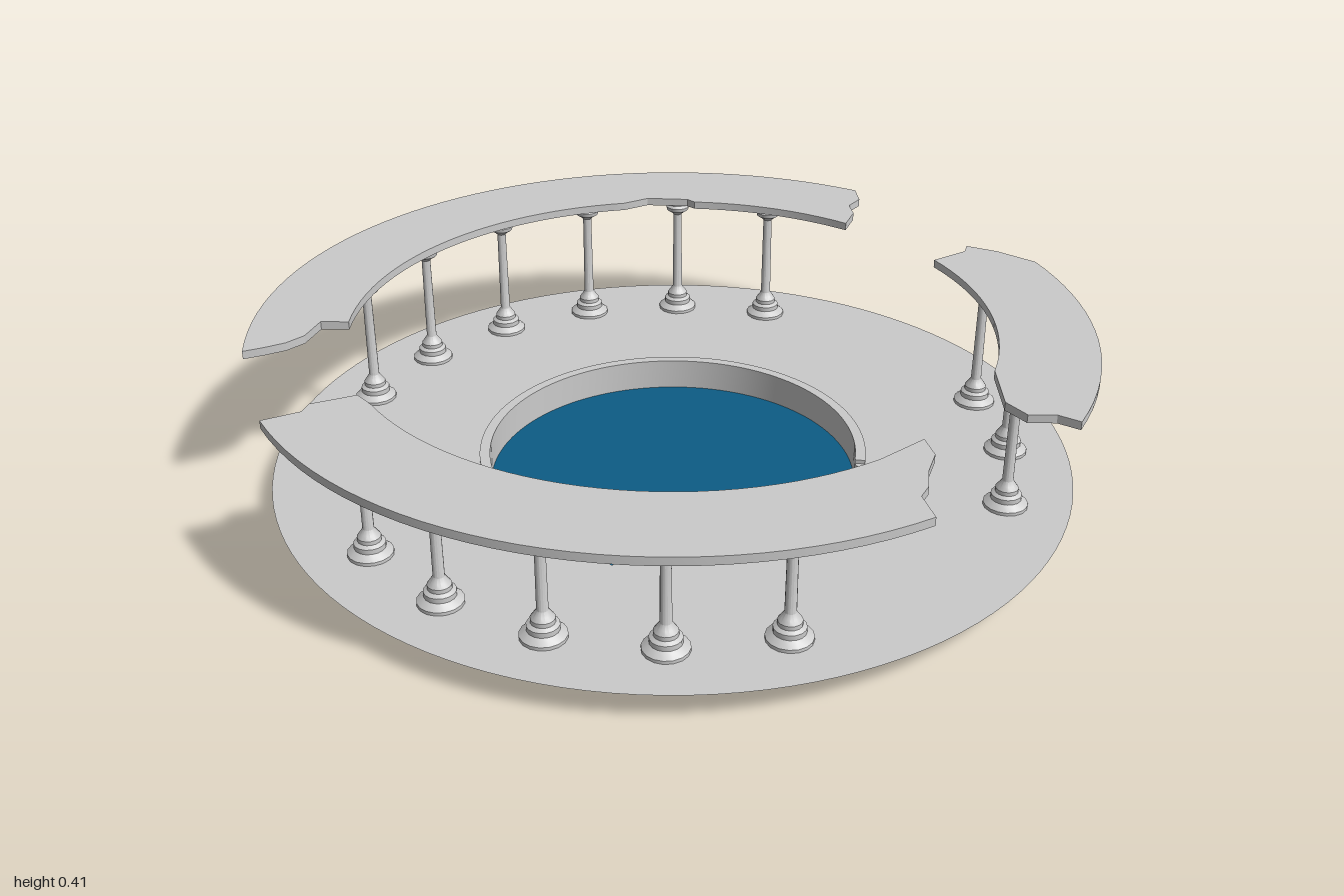
import * as THREE from 'three';
import { toCreasedNormals } from 'three/addons/utils/BufferGeometryUtils.js';

const FLOOR_Y = 0.07, ROOF_TOP = 0.415, POOL_R = 0.45;

// Points along an arc in the ground plane, angles in degrees from +x towards +z
function arc(r, from, to) {
  const n = Math.max(2, Math.ceil(Math.abs(to - from) / 3));
  return Array.from({ length: n + 1 }, (_, i) => {
    const a = THREE.MathUtils.degToRad(from + (to - from) * i / n);
    return [r * Math.cos(a), r * Math.sin(a)];
  });
}

const toShape = pts => new THREE.Shape(pts.map(p => new THREE.Vector2(p[0], p[1])));

// Flat plate with its top at y
function plate(pts, y, thickness) {
  const g = new THREE.ExtrudeGeometry(toShape(pts), { depth: thickness, bevelEnabled: false });
  g.rotateX(Math.PI / 2).translate(0, y, 0);
  return toCreasedNormals(g, 0.4);
}

// Upright band following a closed outline
function band(pts, y0, y1) {
  const pos = [];
  pts.forEach(([x, z], i) => {
    const [u, w] = pts[(i + 1) % pts.length];
    pos.push(x, y0, z, x, y1, z, u, y1, w, x, y0, z, u, y1, w, u, y0, w);
  });
  const g = new THREE.BufferGeometry();
  g.setAttribute('position', new THREE.Float32BufferAttribute(pos, 3));
  g.computeVertexNormals();
  return toCreasedNormals(g, 0.4);
}

export function createModel() {
  const model = new THREE.Group();
  model.name = 'ruinedPoolColonnade';
  const stone = new THREE.MeshStandardMaterial({ color: 0xcccccc });
  const thinStone = new THREE.MeshStandardMaterial({ color: 0xcccccc, side: THREE.DoubleSide });
  const blue = new THREE.MeshStandardMaterial({ color: 0x0d5c85, side: THREE.DoubleSide });
  const add = (name, geometry, material, parent = model) => {
    const m = new THREE.Mesh(geometry, material);
    m.name = name;
    parent.add(m);
    return m;
  };

  // Pool outline: a circle with two broken bites
  const biteRight = [[0.4, 0.215], [0.415, 0.27], [0.41, 0.315], [0.37, 0.335], [0.335, 0.33], [0.305, 0.34]];
  const biteLeft = [[-0.18, 0.415], [-0.22, 0.445], [-0.28, 0.455], [-0.305, 0.42], [-0.34, 0.39], [-0.335, 0.35], [-0.33, 0.3]];
  const pool = [...arc(POOL_R, 139, 387), ...biteRight, ...arc(POOL_R, 49, 112), ...biteLeft];

  // Thin floor disc with the pool cut out
  const floor = toShape(arc(0.97, 0, 357));
  floor.holes.push(new THREE.Path(pool.map(p => new THREE.Vector2(p[0], p[1]))));
  add('floor', new THREE.ShapeGeometry(floor).rotateX(Math.PI / 2).translate(0, FLOOR_Y, 0), thinStone);

  // Pool wall, water and raised rim
  add('poolWall', band(pool, 0, FLOOR_Y), thinStone);
  add('water', new THREE.ShapeGeometry(toShape(pool)).rotateX(Math.PI / 2), blue);
  for (const [from, to] of [[139, 387], [49, 112]]) {
    add('poolRim', plate([...arc(0.475, from, to), ...arc(POOL_R, to, from)], 0.08, 0.01), stone);
  }

  // Broken ring roof in three pieces: outer arc, ragged end, inner arc, ragged end
  const roof = new THREE.Group();
  roof.name = 'brokenRingRoof';
  model.add(roof);
  const back = [
    ...arc(1, 188, 318.2),
    [0.73, -0.6], [0.685, -0.565], [0.675, -0.51],
    ...arc(0.77, 324.5, 291.6), [0.27, -0.74], [0.22, -0.76], [0.165, -0.78],
    ...arc(0.77, 277, 197),
    [-0.8, -0.245], [-0.845, -0.18], [-0.89, -0.155], [-0.94, -0.145],
  ];
  const front = [
    ...arc(1, 76.7, 168.2),
    [-0.89, 0.19], [-0.87, 0.16], [-0.765, 0.15],
    ...arc(0.77, 165, 73.7),
    [0.335, 0.69], [0.33, 0.755], [0.29, 0.81], [0.265, 0.865], [0.235, 0.895],
  ];
  const side = [
    ...arc(0.995, -3.7, 46.5),
    [0.65, 0.68], [0.59, 0.66], [0.57, 0.595],
    ...arc(0.765, 36.4, -11.4),
    [0.85, -0.18], [0.87, -0.21], [0.93, -0.155],
  ];
  add('roofBack', plate(back, ROOF_TOP, 0.02), stone, roof);
  add('roofFront', plate(front, ROOF_TOP, 0.02), stone, roof);
  add('roofSide', plate(side, ROOF_TOP, 0.02), stone, roof);

  // Turned column: stepped foot, slim shaft, rounded capital
  const profile = [
    [0, 0.07], [0.052, 0.07], [0.052, 0.078], [0.036, 0.09], [0.036, 0.102], [0.027, 0.108],
    [0.027, 0.118], [0.02, 0.128], [0.013, 0.138], [0.0115, 0.36], [0.019, 0.367],
    [0.03, 0.374], [0.032, 0.384], [0.025, 0.39], [0.025, 0.396], [0, 0.396],
  ].map(p => new THREE.Vector2(p[0], p[1]));
  const columnGeo = toCreasedNormals(new THREE.LatheGeometry(profile, 16), 0.6);

  // Twenty slots around the ring; those at the gaps have lost their column
  const columns = new THREE.Group();
  columns.name = 'columns';
  model.add(columns);
  const lost = [3, 4, 10, 11, 18, 19];
  for (let i = 0; i < 20; i++) {
    if (lost.includes(i)) continue;
    const a = i * Math.PI / 10;
    add('column', columnGeo, stone, columns).position.set(0.82 * Math.cos(a), 0, 0.82 * Math.sin(a));
  }
  return model;
}
